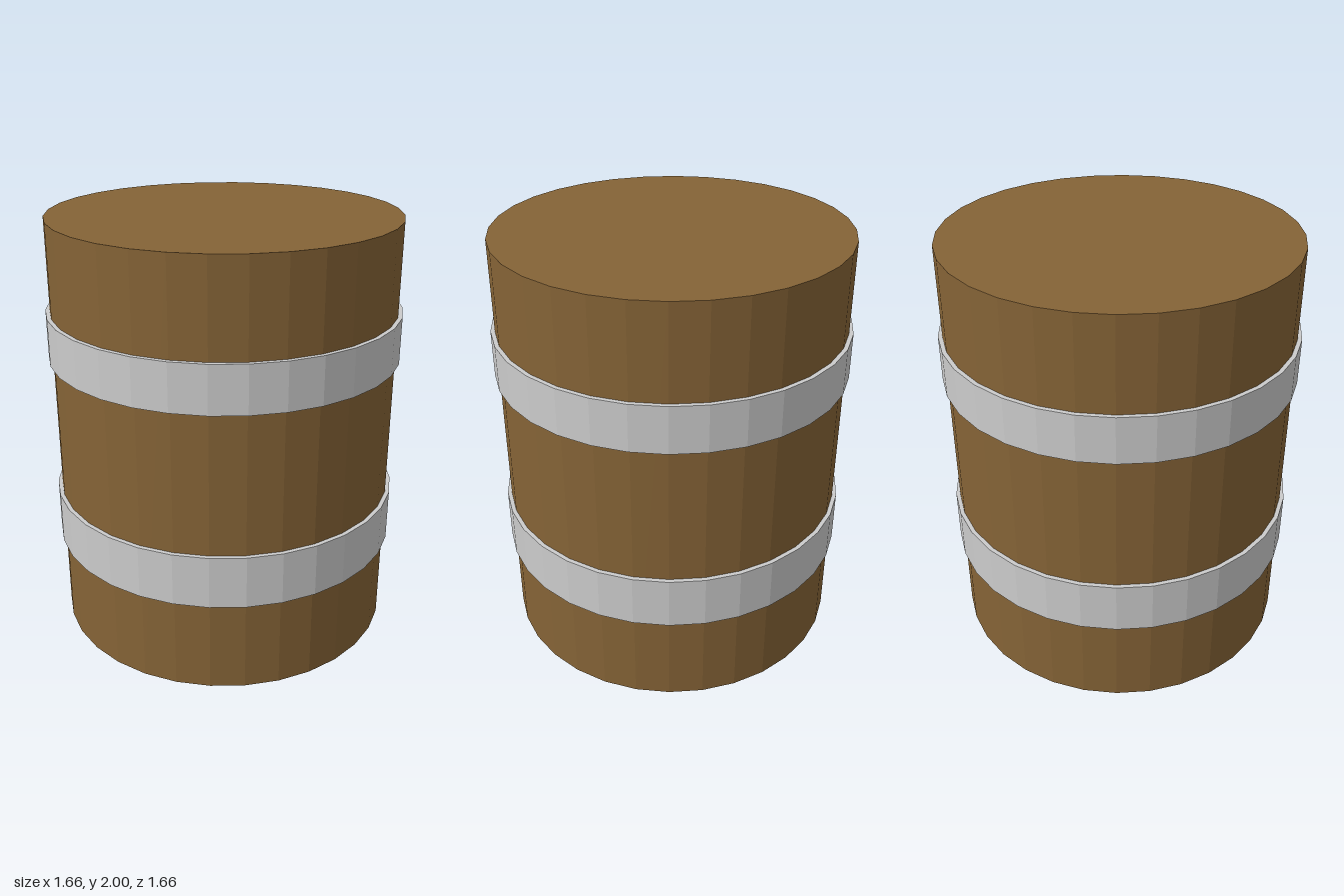
import * as THREE from 'three';

const SIDES = 32;
const BODY_RADIUS = 0.81;
const BAND_RADIUS = 0.83;

export function createModel() {
  const group = new THREE.Group();
  group.name = 'barrel';

  const wood = new THREE.MeshStandardMaterial({ color: 0x856336, flatShading: true });
  const metal = new THREE.MeshStandardMaterial({ color: 0xcccccc, flatShading: true });

  // Straight faceted body with closed ends
  const body = new THREE.Mesh(new THREE.CylinderGeometry(BODY_RADIUS, BODY_RADIUS, 2, SIDES), wood);
  body.name = 'body';
  body.position.y = 1;
  group.add(body);

  // Raised hoop: a flat strip with lips that run in to the body
  const addBand = (name, bottom, top) => {
    const profile = [
      [BODY_RADIUS, bottom],
      [BAND_RADIUS, bottom],
      [BAND_RADIUS, top],
      [BODY_RADIUS, top],
    ].map(([r, y]) => new THREE.Vector2(r, y));
    const band = new THREE.Mesh(new THREE.LatheGeometry(profile, SIDES), metal);
    band.name = name;
    group.add(band);
  };
  addBand('lowerBand', 0.44, 0.69);
  addBand('upperBand', 1.35, 1.57);

  return group;
}
